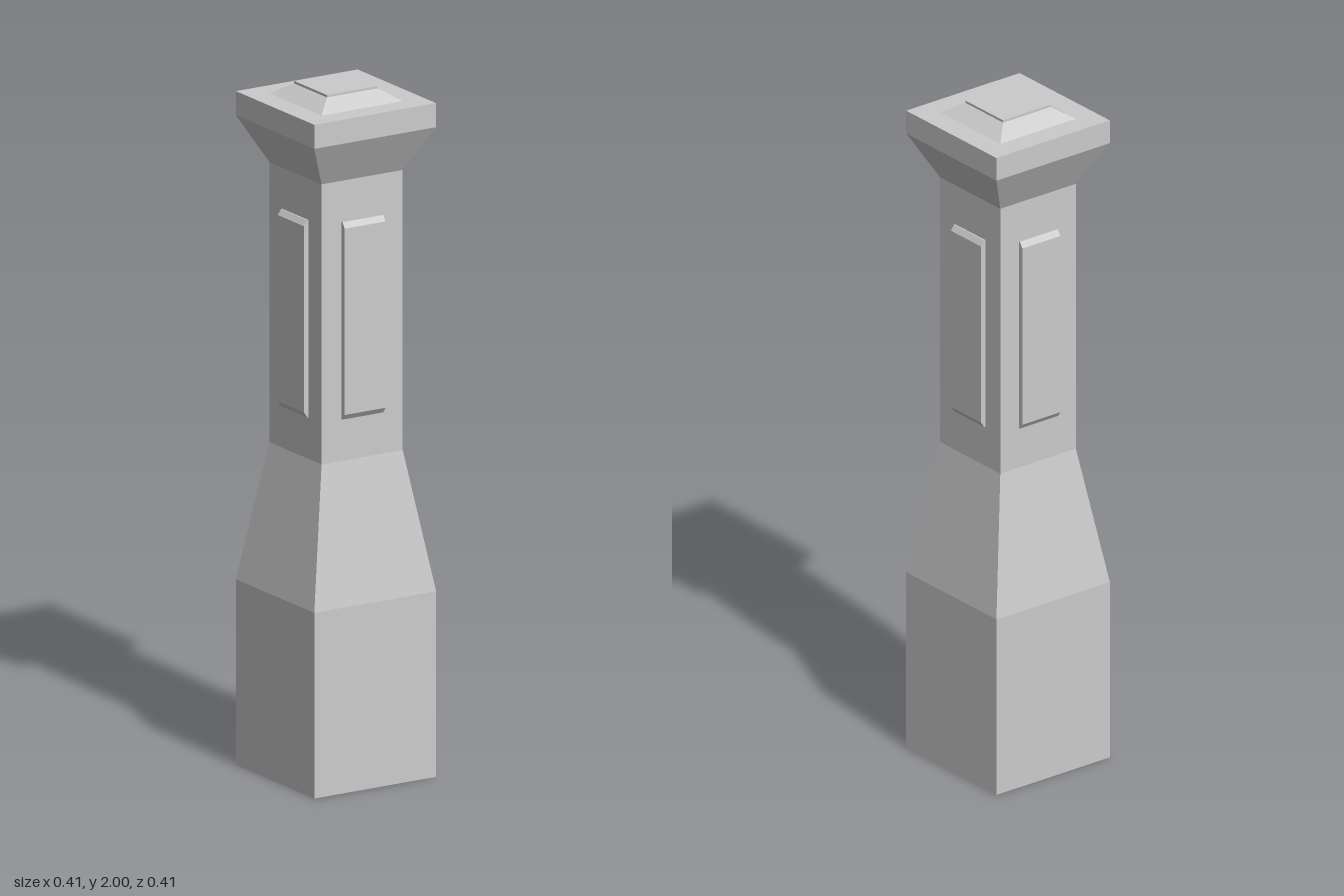
import * as THREE from 'three';

const grey = new THREE.MeshStandardMaterial({ color: 0xcccccc, flatShading: true, side: THREE.DoubleSide });

// Square section swept up a profile of [half width, height] points
function squareColumn(name, profile) {
  const points = profile.map(([half, y]) => new THREE.Vector2(half * Math.SQRT2, y));
  const geometry = new THREE.LatheGeometry(points, 4, Math.PI / 4).toNonIndexed();
  geometry.computeVertexNormals();
  const mesh = new THREE.Mesh(geometry, grey);
  mesh.name = name;
  return mesh;
}

// Raised panel with sloped top and bottom ends, as a side profile extruded across its width
function panelGeometry(width, inner, outer, bottom, top, slope) {
  const lip = inner + 0.005;
  const shape = new THREE.Shape([
    [inner, bottom], [lip, bottom], [outer, bottom + slope],
    [outer, top - slope], [lip, top], [inner, top],
  ].map(([x, y]) => new THREE.Vector2(x, y)));
  const geometry = new THREE.ExtrudeGeometry(shape, { depth: width, bevelEnabled: false });
  geometry.translate(0, 0, -width / 2);
  return geometry;
}

export function createModel() {
  const model = new THREE.Group();
  model.name = 'pillar';

  // Hollow base, tapered shoulder and shaft, open underneath
  model.add(squareColumn('shaft', [[0.2025, 0], [0.2025, 0.54], [0.135, 0.945], [0.135, 1.76]]));

  // Flared capital with a flat top
  model.add(squareColumn('capital', [[0.135, 1.76], [0.2025, 1.89], [0.2025, 1.96], [0, 1.96]]));

  // Low stepped block on top
  model.add(squareColumn('topBlock', [[0.135, 1.96], [0.085, 1.993], [0.085, 2], [0, 2]]));

  // One raised panel on each face of the shaft
  const panel = panelGeometry(0.136, 0.134, 0.15, 1.066, 1.64, 0.016);
  ['left', 'front', 'right', 'back'].forEach((side, i) => {
    const mesh = new THREE.Mesh(panel, grey);
    mesh.name = side + 'Panel';
    mesh.rotation.y = -i * Math.PI / 2;
    model.add(mesh);
  });

  return model;
}
